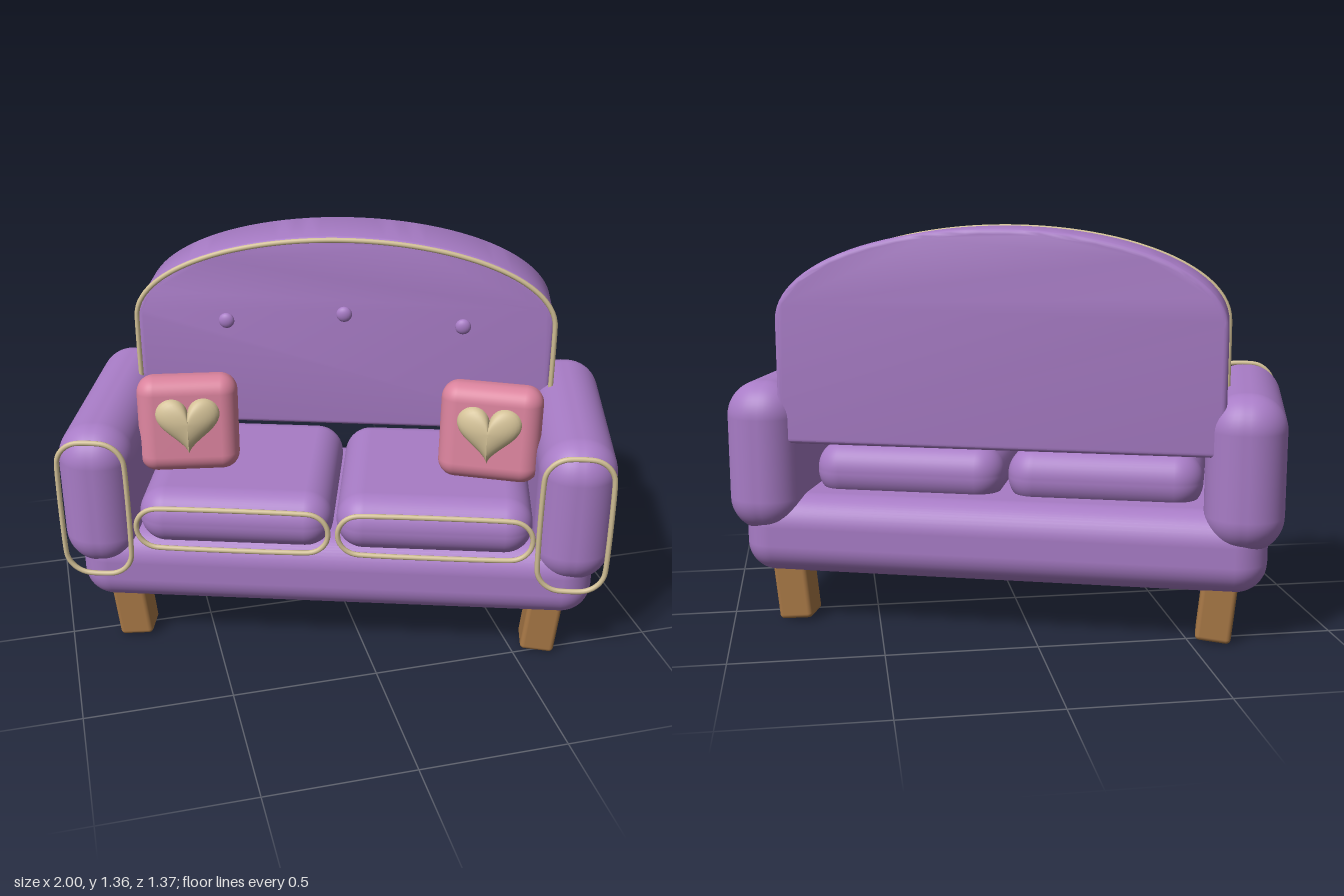
import * as THREE from 'three';
import { toCreasedNormals } from 'three/addons/utils/BufferGeometryUtils.js';
import { RoundedBoxGeometry } from 'three/addons/geometries/RoundedBoxGeometry.js';

const mat = (name, color) => {
  const m = new THREE.MeshStandardMaterial({ color });
  m.name = name;
  return m;
};

export function createModel() {
  const purple = mat('purple fabric', 0xa87cc6);
  const pink = mat('pink fabric', 0xd9829c);
  const gold = mat('pale gold', 0xd2c096);
  const wood = mat('wood', 0xa87846);

  const sofa = new THREE.Group();
  sofa.name = 'sofa';

  const add = (parent, name, geometry, material, x = 0, y = 0, z = 0) => {
    const mesh = new THREE.Mesh(geometry, material);
    mesh.name = name;
    mesh.position.set(x, y, z);
    parent.add(mesh);
    return mesh;
  };
  const box = (w, h, d, r) => new RoundedBoxGeometry(w, h, d, 6, r);

  // Thin tube following a list of 2D points
  const piping = (points, closed) => {
    const path = new THREE.CatmullRomCurve3(points.map(p => new THREE.Vector3(p.x, p.y, 0)), closed);
    return new THREE.TubeGeometry(path, 120, 0.009, 8, closed);
  };
  // Rounded rectangle outline, centred
  const roundedLoop = (w, h, r) => {
    const points = [];
    for (let q = 0; q < 4; q++) {
      const cx = (q === 0 || q === 3 ? 1 : -1) * (w / 2 - r);
      const cy = (q < 2 ? 1 : -1) * (h / 2 - r);
      for (let i = 0; i <= 6; i++) {
        const a = (q + i / 6) * Math.PI / 2;
        points.push(new THREE.Vector2(cx + r * Math.cos(a), cy + r * Math.sin(a)));
      }
    }
    return points;
  };
  // Arch outline: straight sides under half an ellipse
  const arch = (halfWidth, bottom, spring, rise) => {
    const points = [new THREE.Vector2(halfWidth, bottom)];
    for (let i = 0; i <= 48; i++) {
      const a = Math.PI * i / 48;
      points.push(new THREE.Vector2(halfWidth * Math.cos(a), spring + rise * Math.sin(a)));
    }
    points.push(new THREE.Vector2(-halfWidth, bottom));
    return points;
  };

  // Base
  add(sofa, 'base', box(1.77, 0.275, 0.8, 0.105), purple, 0, 0.3125, 0);

  // Backrest with bevelled edge
  const backGeo = new THREE.ExtrudeGeometry(new THREE.Shape(arch(0.722, 0.655, 1.05, 0.288)), {
    depth: 0.214, bevelEnabled: true, bevelSize: 0.018, bevelThickness: 0.018, bevelSegments: 4,
  });
  add(sofa, 'backrest', toCreasedNormals(backGeo, 0.6), purple, 0, 0, -0.372);
  add(sofa, 'backrestPiping', piping(arch(0.74, 0.65, 1.05, 0.3), false), gold, 0, 0, -0.126);

  // Tufting buttons
  for (const [x, y] of [[-0.42, 1.04], [0, 1.075], [0.42, 1.04]]) {
    add(sofa, 'button', new THREE.SphereGeometry(0.028, 20, 14), purple, x, y, -0.137).scale.z = 0.6;
  }

  // Puffed heart: outline rings shrinking over a dome
  const heartGeometry = () => {
    const n = 64, rings = 8, s = 0.22 / 32, pos = [], index = [];
    for (let j = 0; j <= rings; j++) {
      const a = (j / rings) * Math.PI / 2;
      for (let i = 0; i < n; i++) {
        const t = -i / n * Math.PI * 2;
        const x = 16 * Math.sin(t) ** 3;
        const y = 13 * Math.cos(t) - 5 * Math.cos(2 * t) - 2 * Math.cos(3 * t) - Math.cos(4 * t);
        pos.push(x * s * Math.cos(a), y * s * Math.cos(a), 0.042 * Math.sin(a));
        if (j < rings) {
          const p = j * n + i, q = j * n + (i + 1) % n;
          index.push(p, q, q + n, p, q + n, p + n);
        }
      }
    }
    const g = new THREE.BufferGeometry();
    g.setAttribute('position', new THREE.Float32BufferAttribute(pos, 3));
    g.setIndex(index);
    g.computeVertexNormals();
    return g;
  };

  for (const side of [-1, 1]) {
    // Arms with piping on the front
    add(sofa, 'arm', box(0.26, 0.52, 0.86, 0.12), purple, side * 0.805, 0.58, -0.003);
    add(sofa, 'armPiping', piping(roundedLoop(0.225, 0.5, 0.085), true), gold, side * 0.797, 0.577, 0.435);

    // Seat cushions
    add(sofa, 'seatCushion', box(0.665, 0.2, 0.66, 0.095), purple, side * 0.338, 0.51, 0.075);
    add(sofa, 'cushionPiping', piping(roundedLoop(0.65, 0.15, 0.074), true), gold, side * 0.341, 0.502, 0.415);

    // Throw pillows leaning back and turned inward
    const pillow = new THREE.Group();
    pillow.name = 'throwPillow';
    pillow.position.set(side * 0.52, 0.775, 0.145);
    pillow.rotation.set(-0.13, -side * 0.15, 0, 'YXZ');
    add(pillow, 'pillowBody', box(0.345, 0.34, 0.13, 0.06), pink);
    add(pillow, 'pillowHeart', heartGeometry(), gold, 0, 0.02, 0.062);
    sofa.add(pillow);

    // Legs
    for (const z of [-0.28, 0.28]) {
      add(sofa, 'leg', box(0.118, 0.2, 0.118, 0.016), wood, side * 0.725, 0.104, z).rotation.z = -side * 0.1;
    }
  }

  // Whole sofa stands turned on the floor
  sofa.rotation.y = -Math.PI / 10;
  sofa.position.set(0.005, 0, -0.022);
  const model = new THREE.Group();
  model.add(sofa);
  return model;
}
